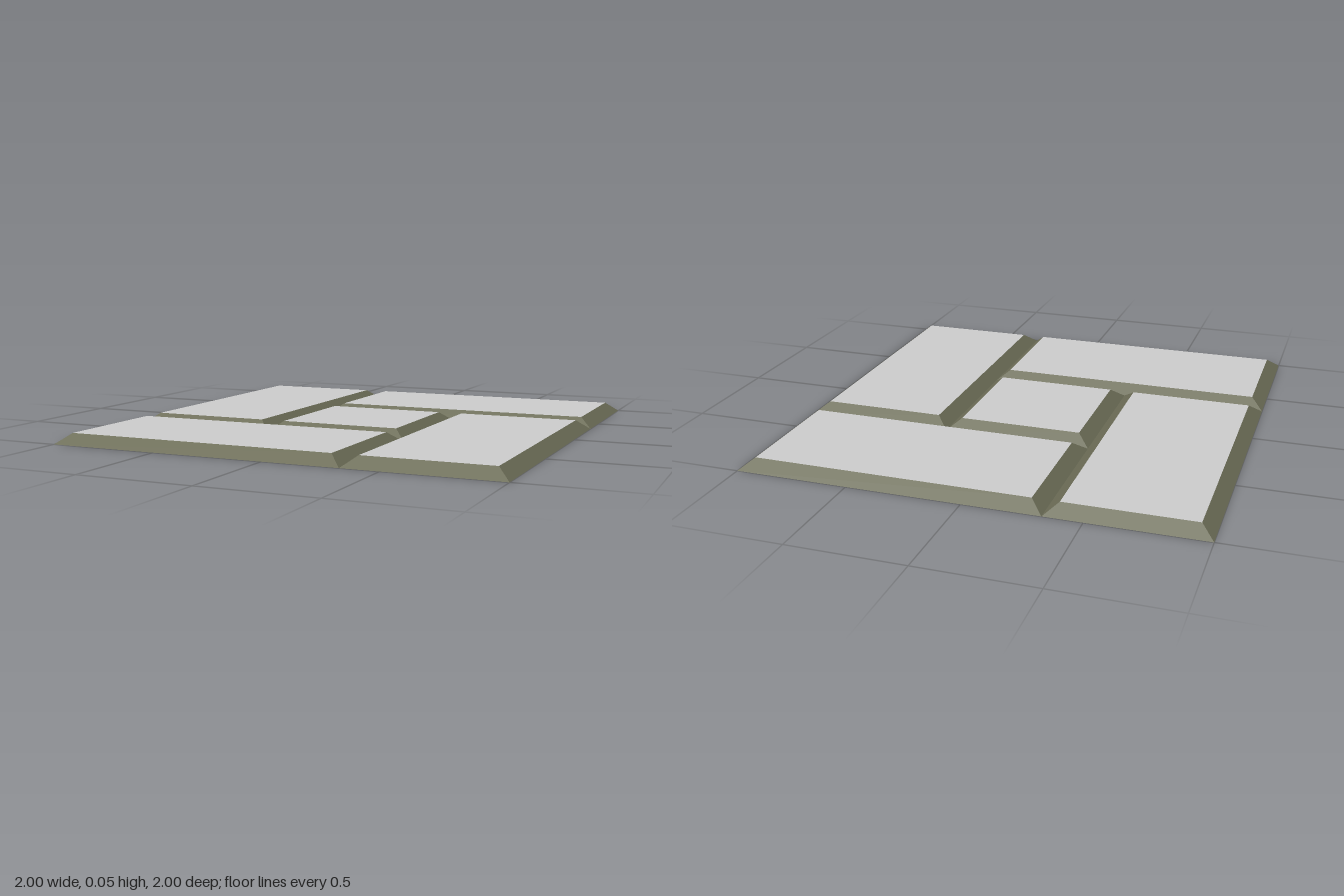
import * as THREE from 'three';

const HEIGHT = 0.045;
const BEVEL = 0.057;
const T = 1 / 3;

// Four sloping sides joining the ground rectangle to the smaller top rectangle
function bevelGeometry(w, d) {
  const corners = (inset, y) =>
    [[-1, 1], [1, 1], [1, -1], [-1, -1]].map(([sx, sz]) => [sx * (w / 2 - inset), y, sz * (d / 2 - inset)]);
  const low = corners(0, 0);
  const high = corners(BEVEL, HEIGHT);
  const points = [];
  for (let i = 0; i < 4; i++) {
    const j = (i + 1) % 4;
    points.push(...low[i], ...low[j], ...high[j], ...low[i], ...high[j], ...high[i]);
  }
  const geometry = new THREE.BufferGeometry();
  geometry.setAttribute('position', new THREE.Float32BufferAttribute(points, 3));
  geometry.computeVertexNormals();
  return geometry;
}

export function createModel() {
  const model = new THREE.Group();
  model.name = 'pavingPattern';
  const stone = new THREE.MeshStandardMaterial({ color: 0xcccccc, side: THREE.DoubleSide });
  stone.name = 'paleGreyStone';
  const edge = new THREE.MeshStandardMaterial({ color: 0x6b6c56, side: THREE.DoubleSide });
  edge.name = 'oliveEdge';

  // One hollow tile, open underneath
  function addTile(name, x0, x1, z0, z1) {
    const w = x1 - x0, d = z1 - z0;
    const tile = new THREE.Group();
    tile.name = name;
    tile.position.set((x0 + x1) / 2, 0, (z0 + z1) / 2);

    const sides = new THREE.Mesh(bevelGeometry(w, d), edge);
    sides.name = 'bevelledSides';
    const top = new THREE.Mesh(new THREE.PlaneGeometry(w - 2 * BEVEL, d - 2 * BEVEL).rotateX(-Math.PI / 2), stone);
    top.name = 'topFace';
    top.position.y = HEIGHT;
    tile.add(sides, top);
    model.add(tile);
  }

  // Four long tiles pinwheel around a square one
  addTile('backRightTile', -1, -T, -1, T);
  addTile('backLeftTile', -T, 1, -1, -T);
  addTile('frontLeftTile', T, 1, -T, 1);
  addTile('frontRightTile', -1, T, T, 1);
  addTile('centreTile', -T, T, -T, T);
  return model;
}
